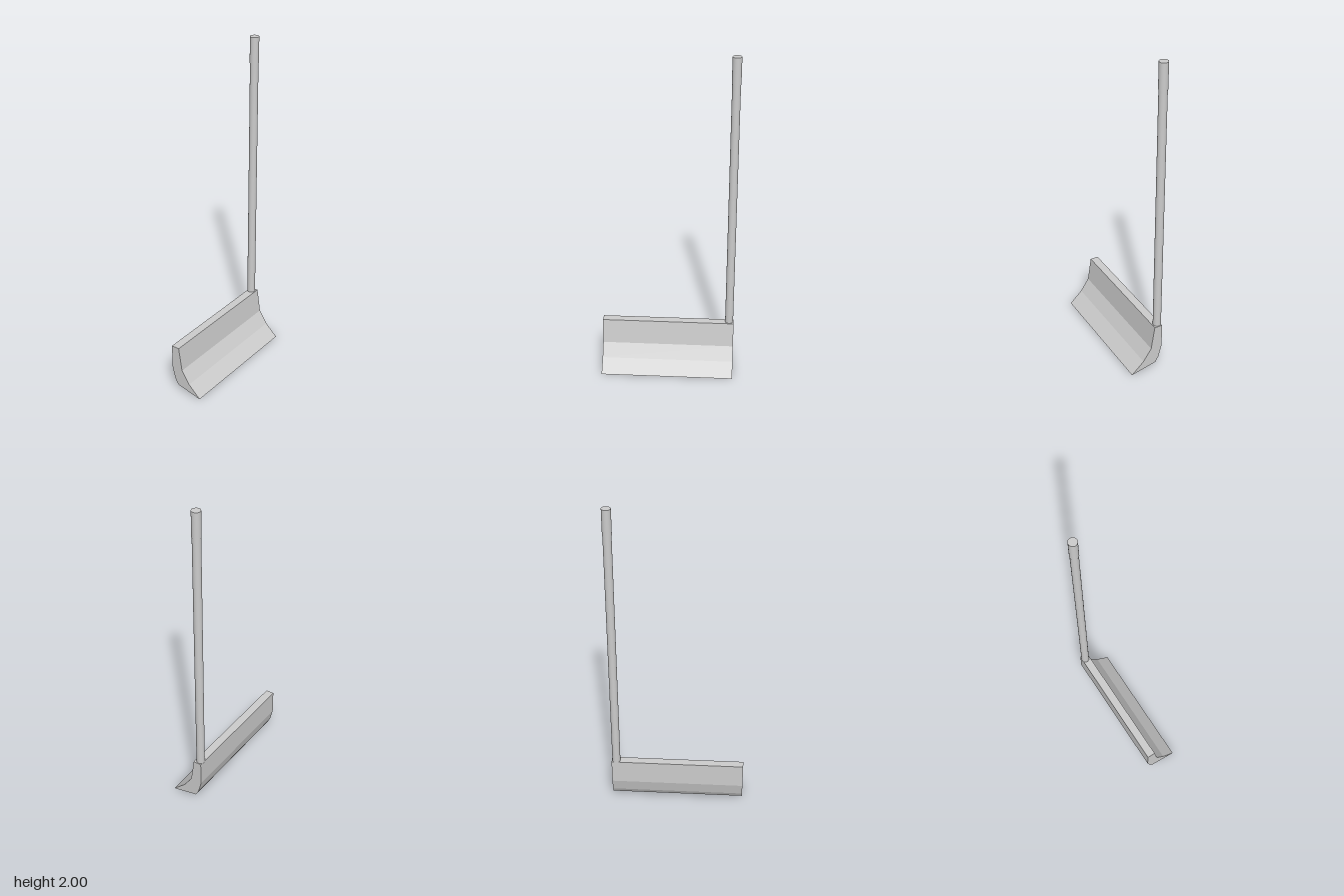
import * as THREE from 'three';

export function createModel() {
  const group = new THREE.Group();
  const material = new THREE.MeshStandardMaterial({ color: 0xcccccc });
  const flat = new THREE.MeshStandardMaterial({ color: 0xcccccc, flatShading: true });

  function add(name, geometry, mat, x, y, z) {
    const mesh = new THREE.Mesh(geometry, mat);
    mesh.name = name;
    mesh.position.set(x, y, z);
    group.add(mesh);
    return mesh;
  }

  // Curved blade: side profile as (z, y), extruded along the width
  const width = 0.806;
  const profile = [
    [0.102, 0.003], [0.024, 0.076], [-0.028, 0.155], [-0.05, 0.305],
    [-0.1, 0.305], [-0.1, 0.155], [-0.08, 0.076], [-0.06, 0.04],
  ];
  const shape = new THREE.Shape(profile.map(([z, y]) => new THREE.Vector2(-z, y)));
  const bladeGeometry = new THREE.ExtrudeGeometry(shape, { depth: width, bevelEnabled: false });
  bladeGeometry.translate(0, 0, -width / 2).rotateY(Math.PI / 2);
  add('blade', bladeGeometry, flat, 0, 0, 0);

  // Upright handle standing on one end of the blade
  function rod(name, radius, bottom, top) {
    const geometry = new THREE.CylinderGeometry(radius, radius, top - bottom, 32);
    add(name, geometry, material, 0.375, (bottom + top) / 2, -0.08);
  }
  rod('shaft', 0.0245, 0.303, 1.845);
  rod('grip', 0.0265, 1.843, 2);

  return group;
}
